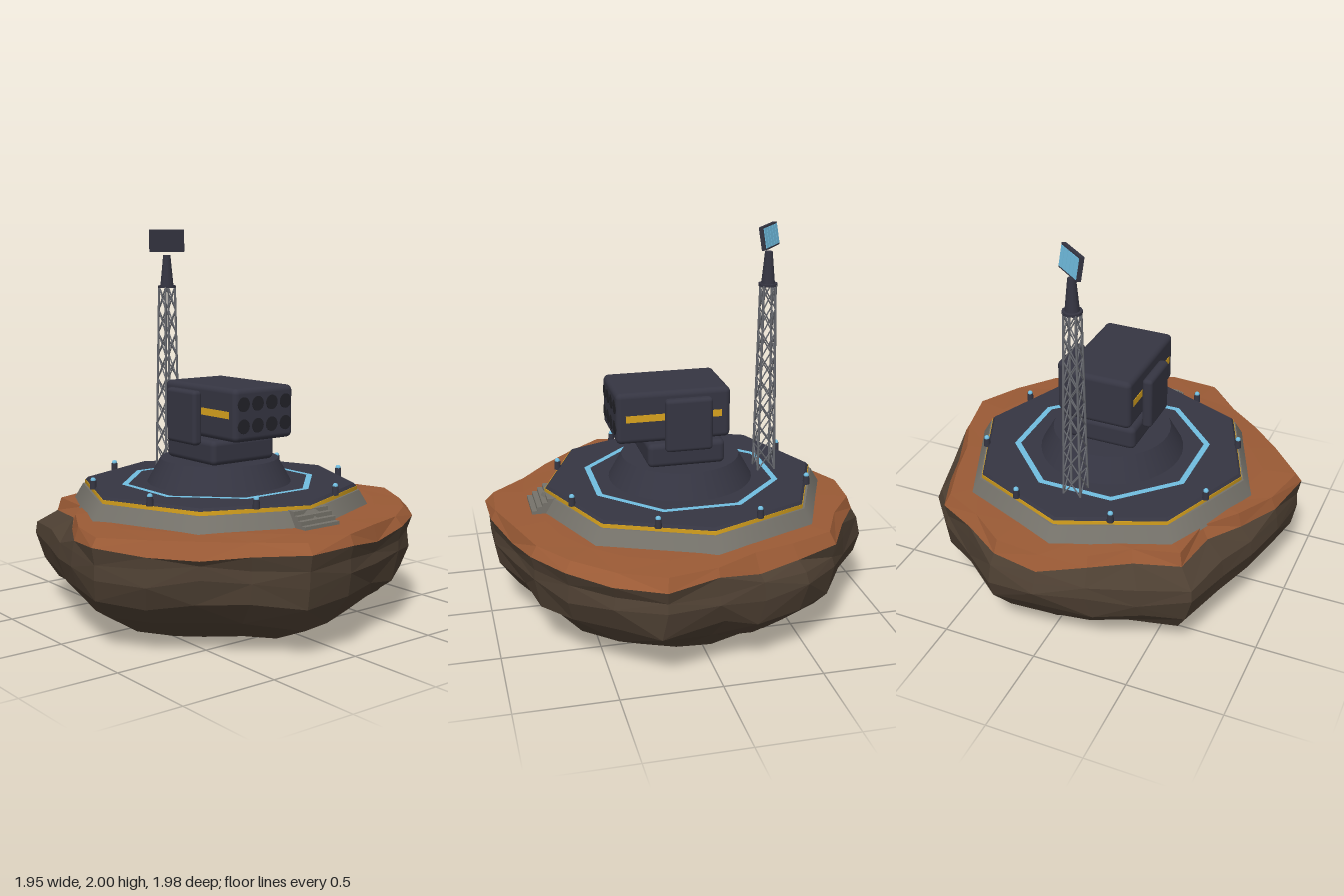
import * as THREE from 'three';
import { RoundedBoxGeometry } from 'three/addons/geometries/RoundedBoxGeometry.js';

const mat = (name, color) => Object.assign(new THREE.MeshStandardMaterial({ color }), { name });

export function createModel() {
  const root = new THREE.Group();
  root.name = 'rockDefencePlatform';
  const M = {
    rock: mat('brown rock', 0x4d3f32),
    soil: mat('orange soil', 0x9a5a35),
    concrete: mat('grey concrete', 0x76736b),
    navy: mat('dark navy metal', 0x353542),
    yellow: mat('hazard yellow', 0xdaa41e),
    blue: mat('light blue', 0x70bde0),
    dark: mat('tube black', 0x222228),
    steel: mat('mast steel', 0x66686e),
  };
  const add = (name, geo, material, x = 0, y = 0, z = 0, parent = root) => {
    const m = new THREE.Mesh(geo, material);
    m.name = name;
    m.position.set(x, y, z);
    parent.add(m);
    return m;
  };

  // Rock: outline radii every 15 degrees, clockwise from the back
  const wide = [.99, .99, .92, .94, .95, .92, .94, 1.01, .99, .97, .95, .92,
    .97, 1.01, .92, .91, .96, 1.01, .94, .91, .92, 1.03, .98, .95];
  const rim = [.94, .94, .90, .94, .88, .86, .91, 1.01, 1, .98, .96, .93,
    .98, 1.02, .92, .92, .95, 1.015, .92, .83, .79, .90, .83, .87];
  const N = wide.length;
  let seed = 7;
  const rnd = () => {
    seed = (seed * 16807) % 2147483647;
    return (seed / 2147483647) * 2 - 1;
  };
  const ring = (radii, scale, y, jr, jy, ja) => radii.map((r, i) => {
    const a = (i + rnd() * ja) * Math.PI * 2 / N;
    const s = r * (scale + rnd() * jr);
    return [Math.sin(a) * s, y + rnd() * jy, -Math.cos(a) * s];
  });
  const loft = (rings) => {
    const p = [];
    for (let k = 0; k < rings.length - 1; k++) {
      for (let i = 0; i < N; i++) {
        const j = (i + 1) % N, a = rings[k], b = rings[k + 1];
        // alternate the diagonal for an irregular faceted surface
        if ((i + k) % 2) p.push(...a[i], ...b[i], ...b[j], ...a[i], ...b[j], ...a[j]);
        else p.push(...a[i], ...b[i], ...a[j], ...b[i], ...b[j], ...a[j]);
      }
    }
    const g = new THREE.BufferGeometry();
    g.setAttribute('position', new THREE.Float32BufferAttribute(p, 3));
    g.computeVertexNormals();
    return g;
  };
  const soilEdge = ring(rim, 1, 0.505, 0.004, 0.026, 0);
  add('rockBody', loft([
    ring(wide, 0, 0, 0, 0, 0),
    ring(wide, 0.48, 0, 0.03, 0, 0.15),
    ring(wide, 0.69, 0.04, 0.03, 0.012, 0.2),
    ring(wide, 0.865, 0.148, 0.025, 0.025, 0.2),
    ring(wide, 0.965, 0.265, 0.015, 0.03, 0.15),
    ring(wide, 0.995, 0.375, 0.008, 0.03, 0),
    ring(wide, 0.985, 0.45, 0.008, 0.015, 0),
    soilEdge,
  ]), M.rock);
  add('soilTop', loft([
    soilEdge,
    ring(rim, 0.96, 0.572, 0.02, 0.006, 0),
    ring(rim, 0.8, 0.578, 0, 0, 0),
    ring(rim, 0, 0.578, 0, 0, 0),
  ]), M.soil);

  // Everything on the rock shares one centre
  const base = new THREE.Group();
  base.name = 'station';
  base.position.set(-0.01, 0, -0.03);
  root.add(base);
  const octagon = (name, rTop, rBottom, y0, y1, m) =>
    add(name, new THREE.CylinderGeometry(rTop, rBottom, y1 - y0, 8), m, 0, (y0 + y1) / 2, 0, base);
  octagon('foundation', 0.735, 0.79, 0.56, 0.652, M.concrete);
  octagon('hazardBand', 0.724, 0.724, 0.65, 0.672, M.yellow);
  octagon('deck', 0.708, 0.721, 0.672, 0.686, M.navy);
  add('deckRing', new THREE.RingGeometry(0.488, 0.521, 8, 1, Math.PI / 8).rotateX(-Math.PI / 2),
    M.blue, 0, 0.689, 0, base);

  // Entry steps
  for (let i = 0; i < 4; i++) {
    const depth = 0.15 - i * 0.027;
    add('step', new THREE.BoxGeometry(0.22, 0.02, depth), M.concrete, 0, 0.585 + i * 0.02, 0.655 + depth / 2, base);
  }

  // Perimeter lights at the middle of each deck edge
  for (let i = 0; i < 8; i++) {
    const a = (i + 0.5) * Math.PI / 4, x = Math.sin(a) * 0.67, z = Math.cos(a) * 0.67;
    add('lightPost', new THREE.CylinderGeometry(0.016, 0.018, 0.045, 12), M.navy, x, 0.695, z, base);
    add('lightLens', new THREE.SphereGeometry(0.014, 12, 8), M.blue, x, 0.72, z, base);
  }

  // Turret
  add('turretPedestal', new THREE.CylinderGeometry(0.31, 0.38, 0.127, 40), M.navy, 0, 0.747, 0, base);
  const rounded = (name, w, h, d, r, x, y, z) =>
    add(name, new RoundedBoxGeometry(w, h, d, 4, r), M.navy, x, y, z, base);
  rounded('turretBase', 0.405, 0.127, 0.405, 0.028, 0, 0.872, 0.01);
  add('turretNeck', new THREE.CylinderGeometry(0.03, 0.03, 0.03, 16), M.navy, 0, 0.94, 0.01, base);
  rounded('launcherBox', 0.38, 0.268, 0.595, 0.028, 0, 1.079, 0.075);
  for (const s of [-1, 1]) {
    rounded('sidePanel', 0.054, 0.278, 0.245, 0.02, s * 0.235, 1.048, 0.01);
    add('launcherStripe', new THREE.BoxGeometry(0.006, 0.036, 0.5), M.yellow, s * 0.19, 1.08, 0.075, base);
  }
  for (let i = 0; i < 4; i++) {
    for (const y of [1.025, 1.135]) {
      add('launchTube', new THREE.CylinderGeometry(0.037, 0.037, 0.008, 20).rotateX(Math.PI / 2),
        M.dark, (i - 1.5) * 0.09, y, 0.371, base);
    }
  }

  // Lattice mast: four tapering legs with crossed braces
  const mast = new THREE.Group();
  mast.name = 'mast';
  mast.position.set(0, 0, -0.465);
  base.add(mast);
  const up = new THREE.Vector3(0, 1, 0);
  const rod = (name, a, b, r) => {
    const d = b.clone().sub(a);
    const m = add(name, new THREE.CylinderGeometry(r, r, d.length(), 16), M.steel, 0, 0, 0, mast);
    m.position.copy(a).add(b).multiplyScalar(0.5);
    m.quaternion.setFromUnitVectors(up, d.normalize());
  };
  const corner = (k, t) => {
    const h = 0.046 - 0.015 * t, a = Math.PI / 4 + k * Math.PI / 2;
    return new THREE.Vector3(Math.cos(a) * h * Math.SQRT2, 0.685 + t * 1.005, Math.sin(a) * h * Math.SQRT2);
  };
  const bays = 8;
  for (let k = 0; k < 4; k++) {
    rod('mastLeg', corner(k, 0), corner(k, 1), 0.006);
    for (let i = 0; i < bays; i++) {
      rod('mastBrace', corner(k, i / bays), corner(k + 1, (i + 1) / bays), 0.0035);
      rod('mastBrace', corner(k + 1, i / bays), corner(k, (i + 1) / bays), 0.0035);
    }
  }
  add('mastCap', new THREE.CylinderGeometry(0.05, 0.05, 0.014, 12), M.navy, 0, 1.69, 0, mast);
  add('mastHead', new THREE.CylinderGeometry(0.02, 0.036, 0.165, 12), M.navy, 0, 1.778, 0, mast);

  // Tilted solar panel facing back and to the left
  const panel = new THREE.Group();
  panel.name = 'solarPanel';
  panel.position.set(0, 1.939, 0);
  panel.rotation.set(-0.17, 2.46, 0, 'YXZ');
  mast.add(panel);
  add('panelFrame', new THREE.BoxGeometry(0.19, 0.118, 0.022), M.navy, 0, 0, 0, panel);
  for (let i = 0; i < 5; i++) {
    add('panelCell', new THREE.BoxGeometry(0.032, 0.1, 0.006), M.blue, (i - 2) * 0.036, 0, 0.012, panel);
  }
  return root;
}
